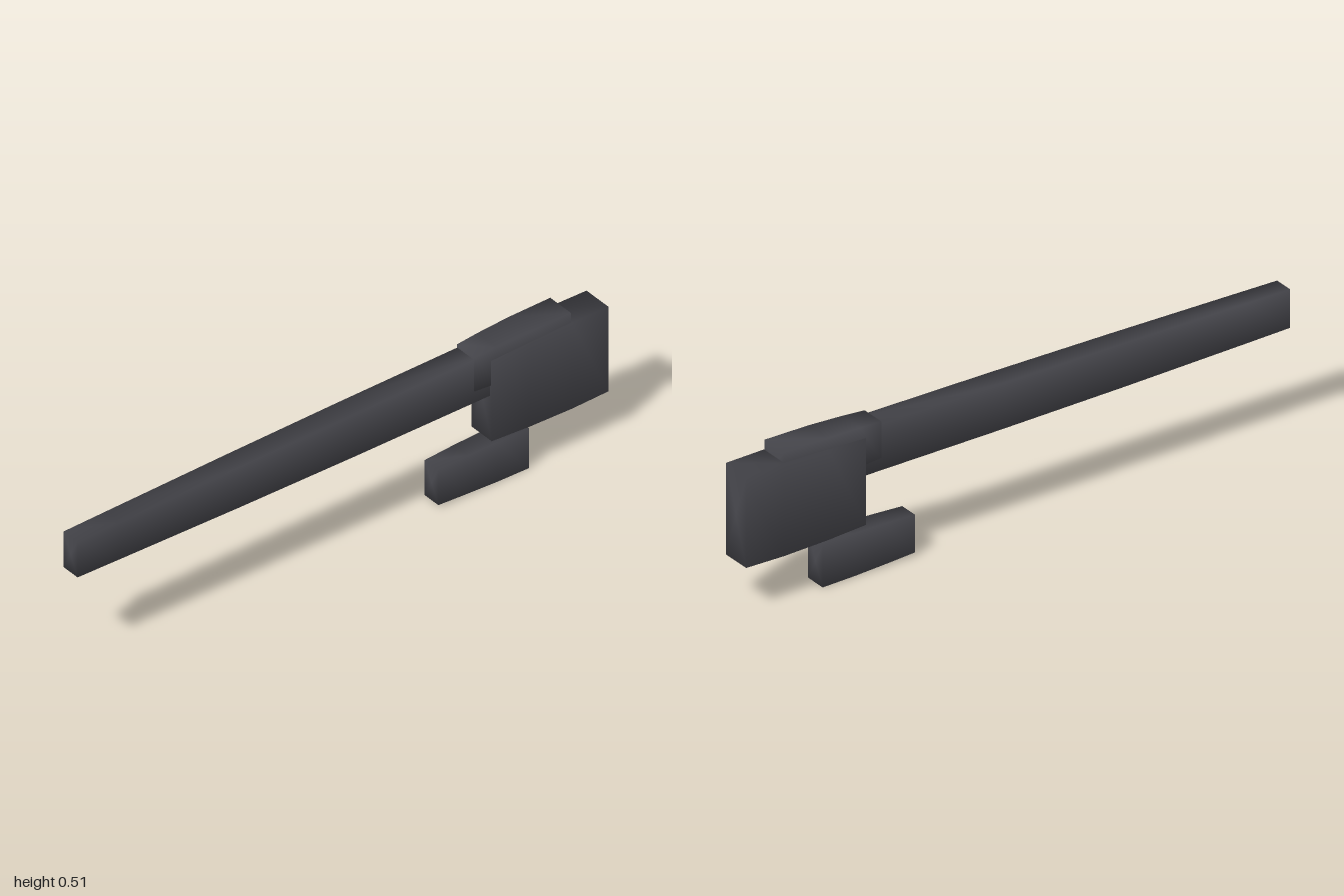
import * as THREE from 'three';

const material = new THREE.MeshStandardMaterial({ color: 0x4a4a50 });

// Lofts rectangles [z, halfWidth, bottom, top], listed back to front, into one
// smoothly shaded block; both ends are closed with a fan around a centre point.
function loftBlock(name, sections) {
  const positions = [];
  const index = [];
  for (const [z, w, bottom, top] of sections) {
    positions.push(-w, bottom, z, w, bottom, z, w, top, z, -w, top, z);
  }
  const n = sections.length;
  for (const [z, , bottom, top] of [sections[0], sections[n - 1]]) {
    positions.push(0, (bottom + top) / 2, z);
  }
  const backCentre = n * 4;
  const frontCentre = backCentre + 1;
  for (let i = 0; i < 4; i++) {
    const j = (i + 1) % 4;
    for (let s = 0; s < n - 1; s++) {
      const a = s * 4 + i, b = s * 4 + j;
      index.push(a, b, b + 4, a, b + 4, a + 4);
    }
    const last = (n - 1) * 4;
    index.push(backCentre, j, i, frontCentre, last + i, last + j);
  }
  const geometry = new THREE.BufferGeometry();
  geometry.setAttribute('position', new THREE.Float32BufferAttribute(positions, 3));
  geometry.setIndex(index);
  geometry.computeVertexNormals();
  const mesh = new THREE.Mesh(geometry, material);
  mesh.name = name;
  return mesh;
}

export function createModel() {
  const group = new THREE.Group();
  group.name = 'taperedBarrelAssembly';
  group.add(
    // Long barrel, narrowing towards the front
    loftBlock('barrel', [
      [-0.60, 0.041, 0.333, 0.490],
      [-0.05, 0.040, 0.335, 0.489],
      [0.39, 0.038, 0.339, 0.486],
      [0.84, 0.035, 0.346, 0.481],
      [1.00, 0.034, 0.349, 0.479],
    ]),
    // Sleeve around the barrel root
    loftBlock('sleeve', [
      [-0.86, 0.050, 0.370, 0.509],
      [-0.70, 0.050, 0.370, 0.508],
      [-0.58, 0.047, 0.372, 0.504],
      [-0.50, 0.043, 0.376, 0.500],
    ]),
    // Deep rear housing
    loftBlock('rearHousing', [
      [-1.00, 0.053, 0.163, 0.472],
      [-0.86, 0.054, 0.161, 0.474],
      [-0.70, 0.053, 0.165, 0.470],
      [-0.56, 0.049, 0.171, 0.463],
    ]),
    // Separate block below the housing
    loftBlock('lowerBlock', [
      [-0.71, 0.038, 0.001, 0.147],
      [-0.59, 0.037, 0.003, 0.147],
      [-0.48, 0.035, 0.007, 0.145],
      [-0.37, 0.033, 0.012, 0.140],
    ]),
  );
  return group;
}
